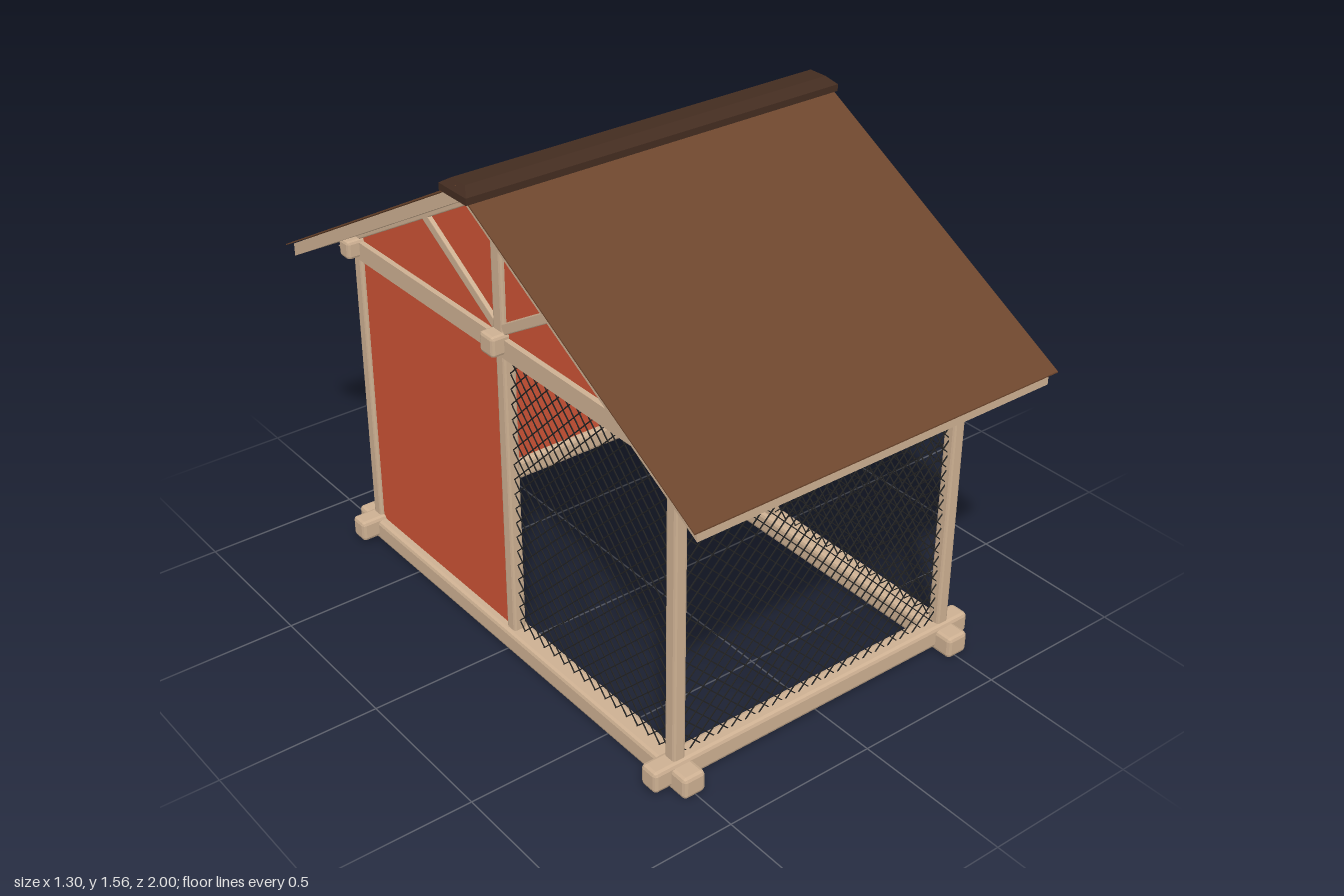
import * as THREE from 'three';
import { mergeGeometries } from 'three/addons/utils/BufferGeometryUtils.js';
import { RoundedBoxGeometry } from 'three/addons/geometries/RoundedBoxGeometry.js';

const material = (color, side = THREE.FrontSide) =>
  new THREE.MeshStandardMaterial({ color, side, flatShading: true });

export function createModel() {
  const model = new THREE.Group();
  const wood = material(0xcdb092);
  const red = material(0xcc5235);
  const brown = material(0x6d462d, THREE.DoubleSide);
  const darkBrown = material(0x432c20);
  const wire = material(0x222222);

  const add = (name, geometry, mat) => {
    const mesh = new THREE.Mesh(geometry, mat);
    mesh.name = name;
    model.add(mesh);
    return mesh;
  };
  // Timber with chamfered edges
  const timber = (name, size, pos, bevel = 0.008) => {
    const mesh = add(name, new RoundedBoxGeometry(...size, 1, bevel), wood);
    mesh.position.set(...pos);
    return mesh;
  };
  const panel = (name, size, pos) => {
    const mesh = add(name, new THREE.BoxGeometry(...size), red);
    mesh.position.set(...pos);
  };
  // Timber between two [z, y] points in a side wall
  const strut = (name, a, b, x, width, depth) => {
    const dz = b[0] - a[0], dy = b[1] - a[1];
    const mesh = timber(name, [depth, width, Math.hypot(dz, dy)],
      [x, (a[1] + b[1]) / 2, (a[0] + b[0]) / 2], 0.003);
    mesh.rotation.x = -Math.atan2(dy, dz);
  };
  // Outline of [z, y] points extruded along x and centred on x
  const sideProfile = (name, points, width, x, mat) => {
    const shape = new THREE.Shape(points.map(([z, y]) => new THREE.Vector2(-z, y)));
    const geometry = new THREE.ExtrudeGeometry(shape, { depth: width, bevelEnabled: false });
    geometry.translate(0, 0, -width / 2).rotateY(Math.PI / 2).translate(x, 0, 0);
    add(name, geometry, mat);
  };

  const X = 0.505, Z = 0.765;

  // Base frame, corner posts and cross beams
  for (const s of [-1, 1]) {
    timber('sideSill', [0.075, 0.07, 1.71], [s * X, 0.04, 0], 0.012);
    timber('endSill', [1.2, 0.07, 0.065], [0, 0.052, s * Z], 0.012);
    for (const t of [-1, 1]) timber('cornerPost', [0.042, 0.98, 0.042], [s * X, 0.55, t * Z]);
    timber('middlePost', [0.042, 0.98, 0.042], [s * X, 0.55, 0.002]);
    timber('endTopBeam', [1.14, 0.06, 0.055], [0, 1.055, s * Z], 0.01);
  }
  timber('middleTopBeam', [1.14, 0.065, 0.065], [0, 1.06, 0.002], 0.01);
  timber('ridgeBeam', [1.14, 0.06, 0.06], [0, 1.475, 0], 0.01);

  // Gables: plate, panel, king post, braces and rafters
  for (const s of [-1, 1]) {
    sideProfile('sideTopPlate',
      [[-0.87, 1.015], [0.87, 1.015], [0.78, 1.075], [-0.78, 1.075]], 0.05, s * X, wood);
    sideProfile('gablePanel', [[-0.79, 1.06], [0.79, 1.06], [0, 1.51]], 0.016, s * X, red);
    timber('kingPost', [0.045, 0.42, 0.048], [s * X, 1.27, 0]);
    for (const t of [-1, 1]) {
      strut('gableBrace', [t * 0.02, 1.1], [t * 0.37, 1.31], s * X, 0.032, 0.042);
      strut('gableRafter', [0, 1.503], [t * 0.8, 1.063], s * X, 0.018, 0.042);
    }
  }

  // Solid walls of the enclosed half
  panel('backWall', [0.98, 0.95, 0.016], [0, 0.55, -Z]);
  panel('leftOrRightBlankWall', [0.016, 0.95, 0.75], [-X, 0.55, -0.38]);
  panel('wallBehindDoor', [0.016, 0.95, 0.36], [X, 0.55, -0.575]);
  panel('wallOverDoor', [0.016, 0.2, 0.34], [X, 0.93, -0.19]);

  // Door with frame and crossed braces
  timber('doorPost', [0.042, 0.95, 0.044], [X, 0.55, -0.377]);
  timber('lintel', [0.042, 0.042, 0.34], [X, 0.824, -0.19]);
  panel('doorPanel', [0.016, 0.71, 0.305], [X, 0.44, -0.193]);
  for (const z of [-0.05, -0.336]) timber('doorStile', [0.034, 0.715, 0.022], [X, 0.44, z], 0.004);
  for (const y of [0.094, 0.786]) timber('doorRail', [0.034, 0.022, 0.305], [X, y, -0.193], 0.004);
  strut('doorBrace', [-0.06, 0.1], [-0.326, 0.78], X, 0.02, 0.026);
  strut('doorBrace', [-0.06, 0.78], [-0.326, 0.1], X, 0.02, 0.024);

  // Diagonal wire netting, clipped to a w by h rectangle
  const netting = (w, h, pitch = 0.05, thick = 0.003) => {
    const bars = [];
    for (const d of [1, -1]) {
      for (let c = -h + pitch / 2; c < w; c += pitch) {
        const u0 = Math.max(0, c), u1 = Math.min(w, c + h);
        const length = (u1 - u0) * Math.SQRT2;
        if (length < 0.005) continue;
        const bar = new THREE.BoxGeometry(length, thick, thick);
        const u = (u0 + u1) / 2;
        bar.rotateZ(d * Math.PI / 4);
        bar.translate(u - w / 2, d * (u - c - h / 2), d * 0.001);
        bars.push(bar);
      }
    }
    return mergeGeometries(bars);
  };
  add('frontNetting', netting(0.97, 0.95), wire).position.set(0, 0.555, Z);
  const sideNet = netting(0.725, 0.95);
  for (const s of [-1, 1]) {
    const net = add('sideNetting', sideNet, wire);
    net.position.set(s * X, 0.555, 0.383);
    net.rotation.y = s * Math.PI / 2;
  }

  // Roof boards with a thin covering that overhangs them
  sideProfile('roofBoards', [[0, 1.551], [-0.986, 1.004], [-0.986, 0.962], [0, 1.509],
    [0.986, 0.962], [0.986, 1.004]], 1.24, 0, wood);
  sideProfile('roofCovering', [[0, 1.558], [-1, 1.003], [-1, 0.999], [0, 1.553],
    [1, 0.999], [1, 1.003]], 1.28, 0, brown);

  // Ridge cap, narrowed towards its top
  const cap = new THREE.BoxGeometry(1.3, 0.042, 0.13, 1, 2, 1);
  const p = cap.attributes.position;
  for (let i = 0; i < p.count; i++) {
    if (p.getY(i) > 0.01) p.setXYZ(i, p.getX(i) * 0.968, p.getY(i), p.getZ(i) * 0.5);
  }
  cap.computeVertexNormals();
  add('ridgeCap', cap, darkBrown).position.y = 1.546;

  return model;
}
